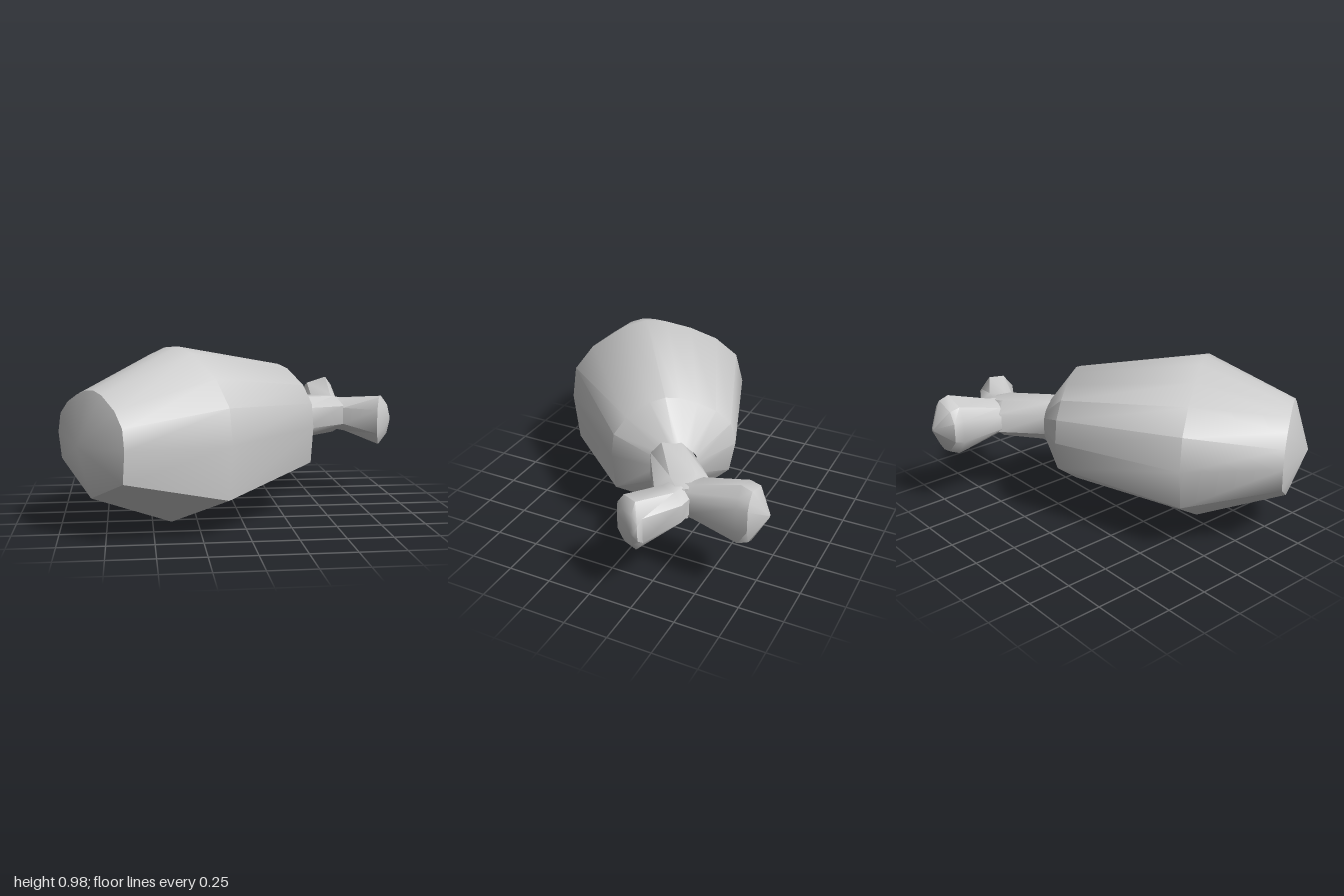
import * as THREE from 'three';
import { toCreasedNormals } from 'three/addons/utils/BufferGeometryUtils.js';

// Skin over scaled copies of a section. Each ring: [x, y, z, yaw, width, height].
function loft(profile, rings, crease) {
  const pts = rings.map(([x, y, z, yaw, w, h]) => profile.map(([d, u]) =>
    new THREE.Vector3(x + d * w * Math.sin(yaw), y + u * h, z + d * w * Math.cos(yaw))));
  const pos = [];
  const tri = (a, b, c) => {
    const area = b.clone().sub(a).cross(c.clone().sub(a)).length();
    if (area > 1e-8) for (const p of [a, b, c]) pos.push(p.x, p.y, p.z);
  };
  const n = profile.length;
  for (let i = 0; i < rings.length - 1; i++) {
    for (let j = 0; j < n; j++) {
      const k = (j + 1) % n;
      tri(pts[i][j], pts[i + 1][j], pts[i + 1][k]);
      tri(pts[i][j], pts[i + 1][k], pts[i][k]);
    }
  }
  const geo = new THREE.BufferGeometry();
  geo.setAttribute('position', new THREE.Float32BufferAttribute(pos, 3));
  return toCreasedNormals(geo, crease);
}

export function createModel() {
  const group = new THREE.Group();
  const material = new THREE.MeshStandardMaterial({ color: 0xcccccc });
  const add = (name, geo) => {
    const mesh = new THREE.Mesh(geo, material);
    mesh.name = name;
    group.add(mesh);
  };

  // Meat: keeled underside, rounded top leaning to one side, along a diagonal axis
  const yaw = 0.585;
  const meatProfile = [
    [0, -0.5], [0.505, -0.29], [0.535, 0], [0.51, 0.19], [0.4, 0.33], [0.2, 0.45], [0.07, 0.482],
    [-0.05, 0.47], [-0.2, 0.42], [-0.36, 0.34], [-0.49, 0.22], [-0.535, 0.04], [-0.485, -0.2],
  ];
  const meatRings = [
    [-0.515, 0.6, 0.58], [0, 1, 1], [0.755, 0.655, 0.715], [0.91, 0.21, 0.27],
  ].map(([t, w, h]) => [-0.395 + t * Math.cos(yaw), 0.5, 0.295 - t * Math.sin(yaw), yaw, w, h]);
  const meatTip = [-0.89, 0.5, 0.66, yaw, 0, 0];
  add('meat', loft(meatProfile, [meatTip, ...meatRings], 0.79));

  // Bone: eight-sided shaft flaring into two knobs
  const boneProfile = [
    [0.45, -1], [1, -0.5], [1, 0.5], [0.45, 1], [-0.45, 1], [-1, 0.5], [-1, -0.5], [-0.45, -1],
  ];
  add('boneShaft', loft(boneProfile, [
    [0.345, 0.515, -0.155, 0.635, 0.112, 0.127],
    [0.605, 0.51, -0.355, 0.635, 0.15, 0.112],
    [0.7, 0.51, -0.4, 0.635, 0.06, 0.09],
    [0.7, 0.51, -0.4, 0.635, 0, 0],
  ], 0.8));

  // Back knob: lopsided section with its crest on one side
  const backProfile = [
    [0.3, -1], [0.75, -0.88], [1, -0.4], [1, 0.4], [0.85, 0.7], [0.5, 1],
    [-0.65, 0.78], [-1, 0.35], [-1, -0.4], [-0.3, -0.94],
  ];
  const back = Math.PI / 2;
  add('backKnob', loft(backProfile, [
    [0.605, 0.512, -0.38, back, 0.095, 0.095],
    [0.605, 0.515, -0.45, back, 0.103, 0.103],
    [0.625, 0.525, -0.71, back, 0.107, 0.177],
    [0.628, 0.53, -0.77, back, 0.105, 0.152],
    [0.635, 0.535, -0.85, back, 0.01, 0.01],
    [0.635, 0.535, -0.85, back, 0, 0],
  ], 0.8));

  const side = -0.4;
  add('sideKnob', loft(boneProfile, [
    [0.67, 0.51, -0.355, side, 0.095, 0.095],
    [0.735, 0.505, -0.335, side, 0.105, 0.1],
    [0.92, 0.48, -0.215, side, 0.1, 0.145],
    [0.963, 0.48, -0.222, side, 0.08, 0.09],
    [0.99, 0.48, -0.25, side, 0.03, 0.02],
    [0.99, 0.48, -0.25, side, 0, 0],
  ], 0.8));

  return group;
}
